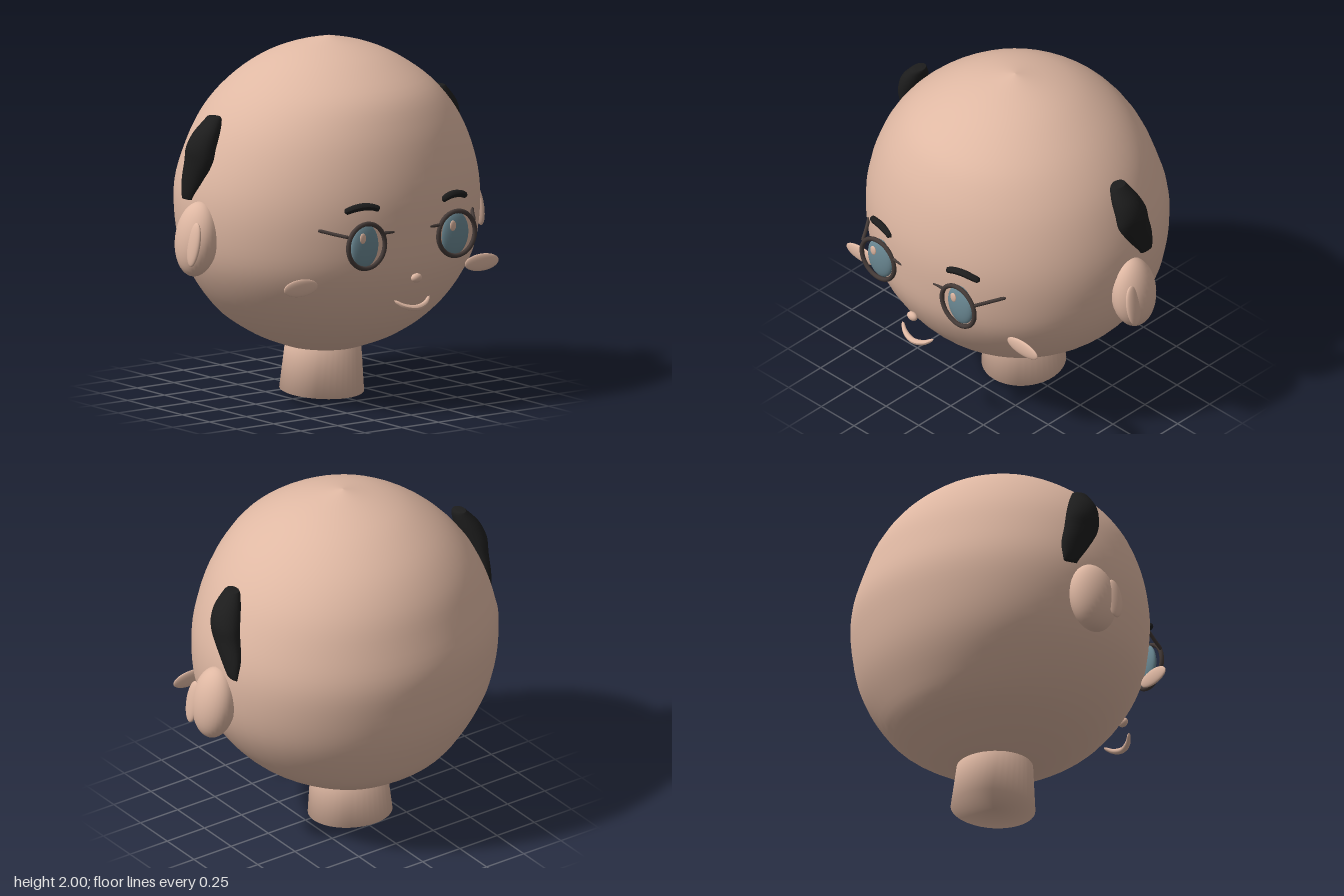
import * as THREE from 'three';
import { mergeVertices } from 'three/addons/utils/BufferGeometryUtils.js';

const mat = (name, color) => {
  const m = new THREE.MeshStandardMaterial({ color });
  m.name = name;
  return m;
};

// Closed smooth loft through oval sections [y, centreX, centreZ, halfX, halfZ], listed bottom to top
function loft(sections, rows, cols) {
  const tracks = [0, 1, 2, 3, 4].map(k => sections.map(s => s[k]));
  const sample = (track, t) => {
    const f = t * (track.length - 1), i = Math.min(Math.floor(f), track.length - 2), u = f - i;
    const p = n => track[Math.max(0, Math.min(track.length - 1, n))];
    const a = p(i - 1), b = p(i), c = p(i + 1), d = p(i + 2);
    return b + 0.5 * u * (c - a + u * (2 * a - 5 * b + 4 * c - d + u * (3 * (b - c) + d - a)));
  };
  const pos = [], idx = [];
  for (let i = 0; i <= rows; i++) {
    const [y, cx, cz, rx, rz] = tracks.map(t => sample(t, i / rows));
    for (let j = 0; j < cols; j++) {
      const a = j / cols * Math.PI * 2;
      pos.push(cx + rx * Math.cos(a), y, cz + rz * Math.sin(a));
    }
  }
  for (let i = 0; i < rows; i++) for (let j = 0; j < cols; j++) {
    const a = i * cols + j, b = i * cols + (j + 1) % cols, c = a + cols, d = b + cols;
    idx.push(a, c, b, b, c, d);
  }
  // end caps
  for (const [row, end, s] of [[0, sections[0], 1], [rows, sections[sections.length - 1], -1]]) {
    const centre = pos.length / 3;
    pos.push(end[1], end[0], end[2]);
    for (let j = 0; j < cols; j++) {
      const a = row * cols + j, b = row * cols + (j + 1) % cols;
      idx.push(centre, ...(s > 0 ? [a, b] : [b, a]));
    }
  }
  const g = new THREE.BufferGeometry();
  g.setAttribute('position', new THREE.Float32BufferAttribute(pos, 3));
  g.setIndex(idx);
  g.computeVertexNormals();
  return g;
}

// Round rod along a curve, thinned towards both ends by taper, with closed tips
function rod(points, radius, taper = 0) {
  const curve = new THREE.CatmullRomCurve3(points.map(p => new THREE.Vector3(...p)));
  const rows = 20, cols = 10;
  const g = new THREE.TubeGeometry(curve, rows, radius, cols, false);
  const p = g.attributes.position, v = new THREE.Vector3();
  for (let i = 0; i <= rows; i++) {
    const t = i / rows, c = curve.getPointAt(t);
    const tip = i === 0 || i === rows ? 0.001 : 1;
    const s = tip * (1 - taper * Math.abs(2 * t - 1) ** 2);
    for (let j = 0; j <= cols; j++) {
      const k = i * (cols + 1) + j;
      v.fromBufferAttribute(p, k).sub(c).multiplyScalar(s).add(c);
      p.setXYZ(k, v.x, v.y, v.z);
    }
  }
  g.computeVertexNormals();
  return g;
}

export function createModel() {
  const model = new THREE.Group();
  model.name = 'dollHead';
  const skin = mat('skin', 0xdfb8a3);
  const hair = mat('hair black', 0x1d1d1d);
  const lash = mat('lash brown', 0x443a37);
  const iris = mat('iris blue', 0x6c8a95);

  const add = (name, geo, material, pos = [0, 0, 0], scale = [1, 1, 1], rot = [0, 0, 0]) => {
    const m = new THREE.Mesh(geo, material);
    m.name = name;
    m.position.set(...pos);
    m.scale.set(...scale);
    m.rotation.set(...rot);
    model.add(m);
  };
  const ball = new THREE.SphereGeometry(1, 32, 20);

  // Skull, given as [y, half width, front z, back z]
  const skull = [
    [0.265, 0.17, 0.12, -0.24], [0.30, 0.27, 0.23, -0.34], [0.36, 0.41, 0.37, -0.45],
    [0.47, 0.577, 0.525, -0.60], [0.62, 0.715, 0.65, -0.695], [0.80, 0.815, 0.738, -0.77],
    [1.00, 0.858, 0.768, -0.808], [1.20, 0.855, 0.77, -0.815], [1.40, 0.80, 0.735, -0.762],
    [1.58, 0.71, 0.672, -0.69], [1.74, 0.572, 0.57, -0.57], [1.87, 0.395, 0.39, -0.40],
    [1.948, 0.22, 0.21, -0.22], [2.0, 0.004, 0.0, -0.008],
  ].map(([y, w, f, b]) => [y, 0, (f + b) / 2, w, (f - b) / 2]);
  add('skull', loft(skull, 52, 48), skin);

  // Neck, its base sloping up towards the back
  const tube = new THREE.CylinderGeometry(0.205, 0.232, 0.3, 40, 1);
  tube.deleteAttribute('normal');
  tube.deleteAttribute('uv');
  const neck = mergeVertices(tube);
  const np = neck.attributes.position;
  for (let i = 0; i < np.count; i++) {
    const bottom = np.getY(i) < 0, z = np.getZ(i) + (bottom ? -0.07 : -0.055);
    np.setXYZ(i, np.getX(i), bottom ? 0.016 - z * 0.076 : 0.32, z);
  }
  neck.computeVertexNormals();
  add('neck', neck, skin);

  // Nose and smile
  add('nose', ball, skin, [0, 0.775, 0.8], [0.034, 0.026, 0.022]);
  add('mouth', rod([[-0.12, 0.655, 0.755], [-0.07, 0.622, 0.783], [0, 0.608, 0.797],
    [0.07, 0.622, 0.783], [0.12, 0.655, 0.755]], 0.017, 0.6), skin);

  // Side tuft of hair, for the left side
  const tuft = [
    [1.163, 0.852, -0.155, 0.012, 0.042], [1.2, 0.85, -0.145, 0.025, 0.056],
    [1.28, 0.84, -0.115, 0.045, 0.085], [1.38, 0.835, -0.073, 0.06, 0.102],
    [1.46, 0.83, -0.058, 0.07, 0.1], [1.54, 0.805, -0.042, 0.068, 0.084],
    [1.61, 0.77, -0.03, 0.045, 0.057], [1.632, 0.762, -0.03, 0.032, 0.044],
  ];

  for (const s of [1, -1]) {
    const side = s > 0 ? 'left' : 'right';

    // Ear leaning outwards at the lobe, with inner curl
    add(side + 'Ear', ball, skin, [s * 0.882, 0.965, -0.025], [0.108, 0.207, 0.138], [0, 0, s * 0.16]);
    add(side + 'EarCurl', ball, skin, [s * 0.965, 0.955, 0.06], [0.022, 0.122, 0.05], [0, 0, s * 0.18]);

    const mirrored = tuft.map(([y, x, ...r]) => [y, s * x, ...r]);
    add(side + 'HairTuft', loft(mirrored, 24, 20), hair);

    // Eye: iris, highlight and dark rim
    const ex = s * 0.306;
    add(side + 'Iris', ball, iris, [ex, 0.98, 0.735], [0.092, 0.122, 0.03]);
    add(side + 'EyeHighlight', ball, skin, [ex - 0.03, 1.027, 0.762], [0.021, 0.029, 0.007]);
    add(side + 'EyeRim', new THREE.TorusGeometry(0.124, 0.013, 10, 48), lash, [ex, 0.98, 0.755]);

    // Lashes at both corners and the brow above
    add(side + 'OuterLash', rod([[s * 0.425, 1.042, 0.755], [s * 0.475, 1.055, 0.675],
      [s * 0.525, 1.07, 0.6]], 0.01), lash);
    add(side + 'InnerLash', rod([[s * 0.118, 1.04, 0.755], [s * 0.155, 1.04, 0.755],
      [s * 0.192, 1.04, 0.755]], 0.009), lash);
    add(side + 'Brow', rod([[s * 0.212, 1.174, 0.748], [s * 0.255, 1.19, 0.742],
      [s * 0.31, 1.196, 0.73], [s * 0.365, 1.188, 0.715], [s * 0.412, 1.17, 0.692]], 0.021, 0.2), hair);

    // Cheek pad
    add(side + 'Cheek', ball, skin, [s * 0.615, 0.753, 0.568], [0.115, 0.048, 0.014]);
  }
  return model;
}
